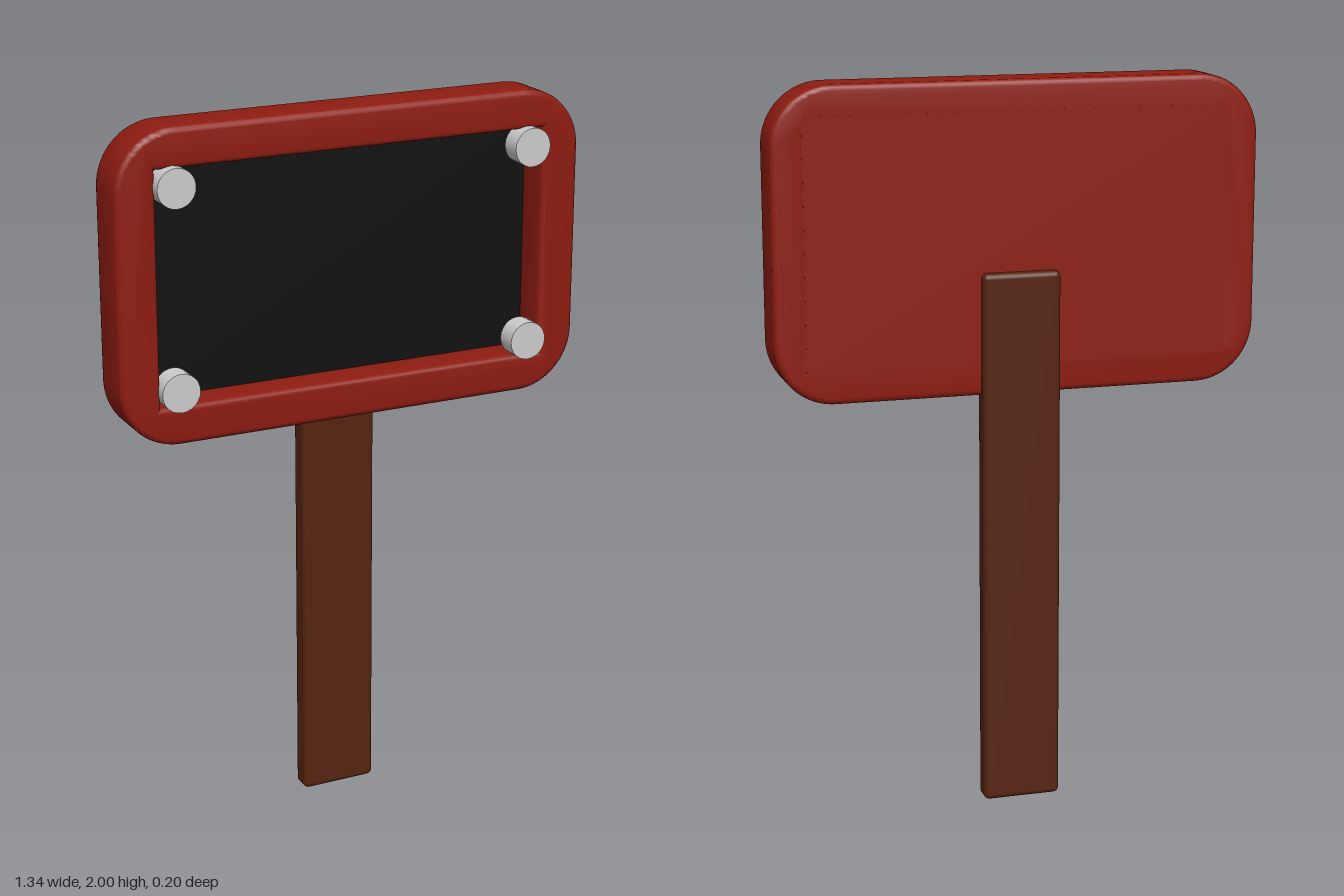
import * as THREE from 'three';
import { toCreasedNormals } from 'three/addons/utils/BufferGeometryUtils.js';
import { RoundedBoxGeometry } from 'three/addons/geometries/RoundedBoxGeometry.js';

const BEVEL = 0.015;

// Rectangle centred on the origin with rounded corners
function roundedRect(w, h, r) {
  const s = new THREE.Shape();
  const x = w / 2 - r, y = h / 2 - r;
  s.absarc(x, y, r, 0, Math.PI / 2);
  s.absarc(-x, y, r, Math.PI / 2, Math.PI);
  s.absarc(-x, -y, r, Math.PI, Math.PI * 1.5);
  s.absarc(x, -y, r, Math.PI * 1.5, Math.PI * 2);
  s.closePath();
  return s;
}

export function createModel() {
  const model = new THREE.Group();
  model.name = 'signboard';
  const red = new THREE.MeshStandardMaterial({ color: 0x8e1c11 });
  const brown = new THREE.MeshStandardMaterial({ color: 0x552410 });
  const black = new THREE.MeshStandardMaterial({ color: 0x101010 });
  const grey = new THREE.MeshStandardMaterial({ color: 0xcccccc });

  function add(name, geometry, material, x, y, z) {
    const mesh = new THREE.Mesh(geometry, material);
    mesh.name = name;
    mesh.position.set(x, y, z);
    model.add(mesh);
    return mesh;
  }

  const midY = 1.578, backZ = -0.073, frontZ = 0.071, floorZ = -0.028;
  const openW = 1.12, openH = 0.632;

  // Rounded frame with a rectangular opening
  const outline = roundedRect(1.34, 0.844, 0.165);
  const a = openW / 2, b = openH / 2;
  outline.holes.push(new THREE.Path([
    new THREE.Vector2(-a, -b), new THREE.Vector2(-a, b),
    new THREE.Vector2(a, b), new THREE.Vector2(a, -b),
  ]));
  const frame = new THREE.ExtrudeGeometry(outline, {
    depth: frontZ - backZ - 2 * BEVEL, curveSegments: 12,
    bevelThickness: BEVEL, bevelSize: BEVEL, bevelOffset: -BEVEL, bevelSegments: 3,
  });
  add('frame', toCreasedNormals(frame, 0.7), red, 0, midY, backZ + BEVEL);

  // Backing closes the opening from behind, with the dark panel on it
  const backDepth = floorZ - 0.004 - backZ;
  add('backing', new THREE.BoxGeometry(openW + 0.05, openH + 0.05, backDepth), red,
    0, midY, backZ - 0.0005 + backDepth / 2);
  add('panel', new THREE.BoxGeometry(openW, openH, 0.006), black, 0, midY, floorZ - 0.003);

  // Post fixed to the back of the board
  add('post', new RoundedBoxGeometry(0.216, 1.49, 0.065, 3, BEVEL), brown, 0, 0.745, -0.066);

  // Studs in the four corners of the opening
  const stud = new THREE.CylinderGeometry(0.053, 0.053, 0.06, 24).rotateX(Math.PI / 2);
  for (const [sx, side] of [[1, 'Left'], [-1, 'Right']]) {
    for (const [y, level] of [[1.85, 'top'], [1.308, 'bottom']]) {
      add(`${level}${side}Stud`, stud, grey, sx * 0.514, y, 0.0685);
    }
  }
  return model;
}
